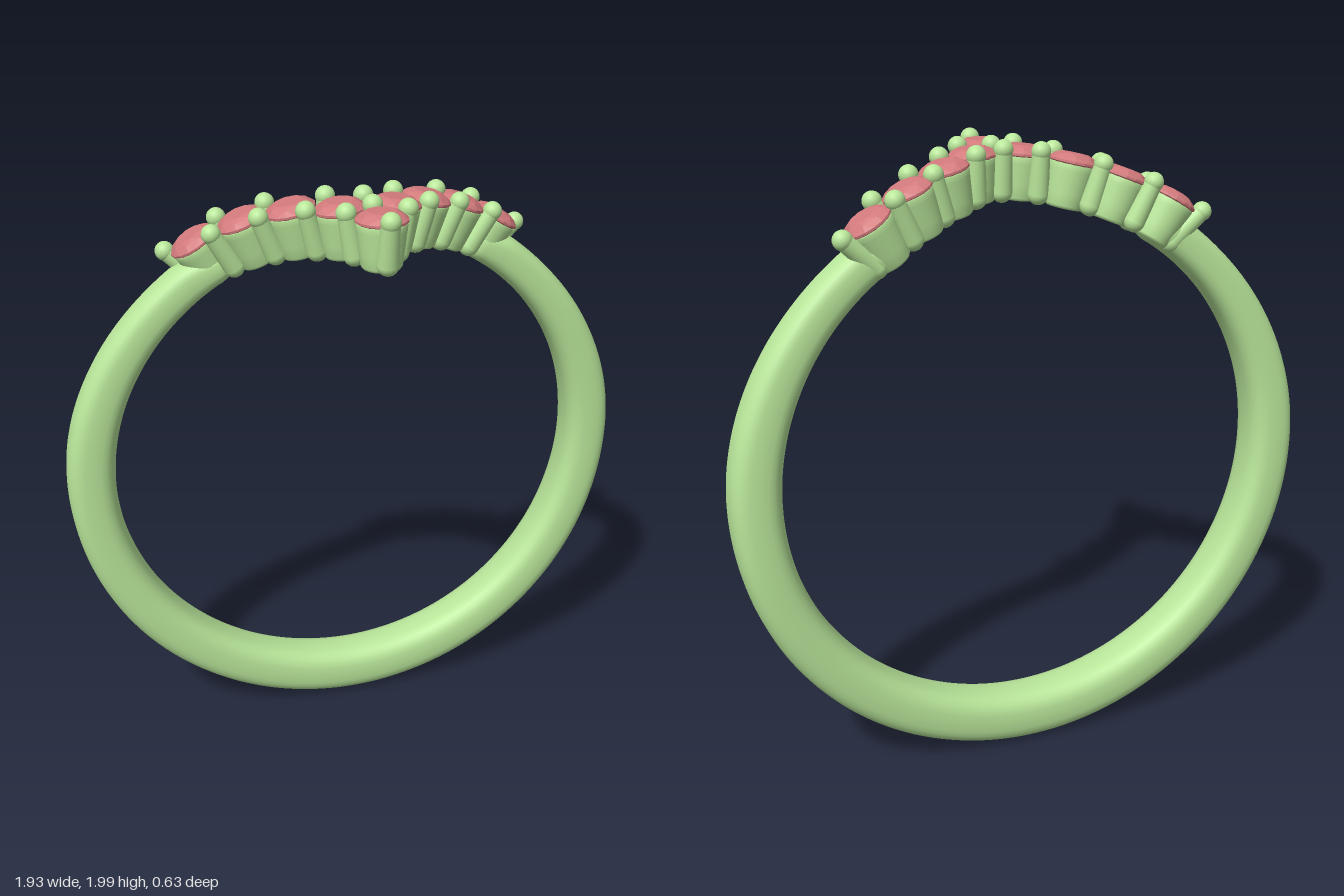
import * as THREE from 'three';
import { ConvexGeometry } from 'three/addons/geometries/ConvexGeometry.js';

const CY = 0.98; // height of the ring's axis
const metal = new THREE.MeshStandardMaterial({ color: 0xb9e69a });
const stone = new THREE.MeshStandardMaterial({ color: 0xd27a7c, flatShading: true });

// Stone centres and claw tips as [x, z], one half of the chevron plus the middle
const STONES = [[0.5, -0.197], [0.357, -0.14], [0.217, -0.067], [0.087, 0.035], [0, 0.187]];
const CLAWS = [
  [0.585, -0.237], [0.456, -0.108], [0.42, -0.22], [0.32, -0.043], [0.278, -0.153],
  [0.193, 0.04], [0.108, -0.06], [0.095, 0.14], [0, -0.015], [0, 0.09], [0, 0.28],
];
const mirrored = (list) => list.flatMap(([x, z]) => (x ? [[x, z], [-x, z]] : [[x, z]]));

// Point at distance r from the ring's axis
const onArc = (x, z, r) => new THREE.Vector3(x, CY + Math.sqrt(r * r - x * x), z);

function add(parent, name, geometry, material) {
  const mesh = new THREE.Mesh(geometry, material);
  mesh.name = name;
  parent.add(mesh);
  return mesh;
}

// Band: rounded-square section swept round the finger, slimmer towards the shoulders
function bandGeometry() {
  const rings = 260, sides = 28, gap = 27, pos = [], index = [];
  const { smoothstep, lerp, degToRad } = THREE.MathUtils;
  const round = (v) => Math.sign(v) * Math.abs(v) ** 0.72;
  for (let i = 0; i <= rings; i++) {
    const deg = lerp(gap, 360 - gap, i / rings), t = degToRad(deg);
    const d = Math.abs(deg - 180), end = (180 - gap - d) / 4;
    const slim = smoothstep(d, 70, 165);
    const outer = 0.98 - 0.015 * smoothstep(d, 0, 90) - 0.035 * smoothstep(d, 90, 145) - 0.03 * smoothstep(d, 142, 153);
    const inner = 0.805, back = lerp(-0.315, -0.25, slim), front = lerp(-0.14, -0.122, slim);
    const tip = end < 1 ? Math.sqrt(Math.max(0, 1 - (1 - end) ** 2)) : 1;
    for (let j = 0; j < sides; j++) {
      const p = (j / sides) * Math.PI * 2;
      const r = (outer + inner) / 2 + ((outer - inner) / 2) * tip * round(Math.cos(p));
      const z = (back + front) / 2 + ((front - back) / 2) * tip * round(Math.sin(p));
      pos.push(Math.sin(t) * r, CY + Math.cos(t) * r, z);
      if (i < rings) {
        const a = i * sides + j, b = i * sides + ((j + 1) % sides);
        index.push(a, b, a + sides, b, b + sides, a + sides);
      }
    }
  }
  const g = new THREE.BufferGeometry();
  g.setAttribute('position', new THREE.Float32BufferAttribute(pos, 3));
  g.setIndex(index);
  g.computeVertexNormals();
  return g;
}

// Faceted round stone: table, crown, girdle and point, with y = 0 at the girdle
function stoneGeometry() {
  const pts = [new THREE.Vector3(0, -0.06, 0)];
  const ring = (n, r, y, turn) => {
    for (let i = 0; i < n; i++) {
      const a = ((i + turn) / n) * Math.PI * 2;
      pts.push(new THREE.Vector3(r * Math.cos(a), y, r * Math.sin(a)));
    }
  };
  ring(8, 0.045, 0.025, 0);
  ring(8, 0.064, 0.017, 0.5);
  ring(16, 0.081, 0.002, 0);
  ring(16, 0.081, -0.005, 0);
  return new ConvexGeometry(pts);
}

// Cup under a stone: tapered, pierced, with softened rims
function cupGeometry() {
  const profile = [
    [0.034, -0.14], [0.04, -0.147], [0.056, -0.147], [0.063, -0.138], [0.068, -0.1],
    [0.076, -0.03], [0.078, -0.012], [0.074, -0.006], [0.066, -0.008], [0.034, -0.05], [0.034, -0.14],
  ];
  return new THREE.LatheGeometry(profile.map(([x, y]) => new THREE.Vector2(x, y)), 32);
}

export function createModel() {
  const model = new THREE.Group();
  model.name = 'chevronRing';
  add(model, 'band', bandGeometry(), metal);

  // Stones in their cups, tilted to follow the arch
  const gem = stoneGeometry(), cup = cupGeometry();
  const stones = mirrored(STONES);
  for (const [x, z] of stones) {
    const setting = new THREE.Group();
    setting.name = 'setting';
    setting.position.copy(onArc(x, z, 0.96));
    setting.rotation.z = -Math.asin(x / 0.96);
    add(setting, 'stone', gem, stone);
    add(setting, 'cup', cup, metal);
    model.add(setting);
  }

  // Claws: ball tip, tapered shaft and rounded foot leaning in under the stones
  const tipGeo = new THREE.SphereGeometry(0.031, 20, 14);
  const footGeo = new THREE.SphereGeometry(0.034, 20, 14);
  const up = new THREE.Vector3(0, 1, 0);
  for (const [x, z] of mirrored(CLAWS)) {
    const near = stones
      .map(([sx, sz]) => ({ sx, sz, d: Math.hypot(sx - x, sz - z) }))
      .sort((a, b) => a.d - b.d);
    const used = near.filter((s) => s.d < near[0].d + 0.03);
    const mx = used.reduce((sum, s) => sum + s.sx, 0) / used.length;
    const mz = used.reduce((sum, s) => sum + s.sz, 0) / used.length;
    const lean = 0.3, footR = 0.842;
    const top = onArc(x, z, 0.976);
    const foot = onArc((x + (mx - x) * lean) * (footR / 0.976), z + (mz - z) * lean, footR);
    const axis = top.clone().sub(foot);

    const claw = new THREE.Group();
    claw.name = 'claw';
    add(claw, 'clawTip', tipGeo, metal).position.copy(top);
    add(claw, 'clawFoot', footGeo, metal).position.copy(foot);
    const shaft = add(claw, 'clawShaft', new THREE.CylinderGeometry(0.028, 0.034, axis.length(), 20, 1, true), metal);
    shaft.position.copy(top).add(foot).multiplyScalar(0.5);
    shaft.quaternion.setFromUnitVectors(up, axis.normalize());
    model.add(claw);
  }
  return model;
}
